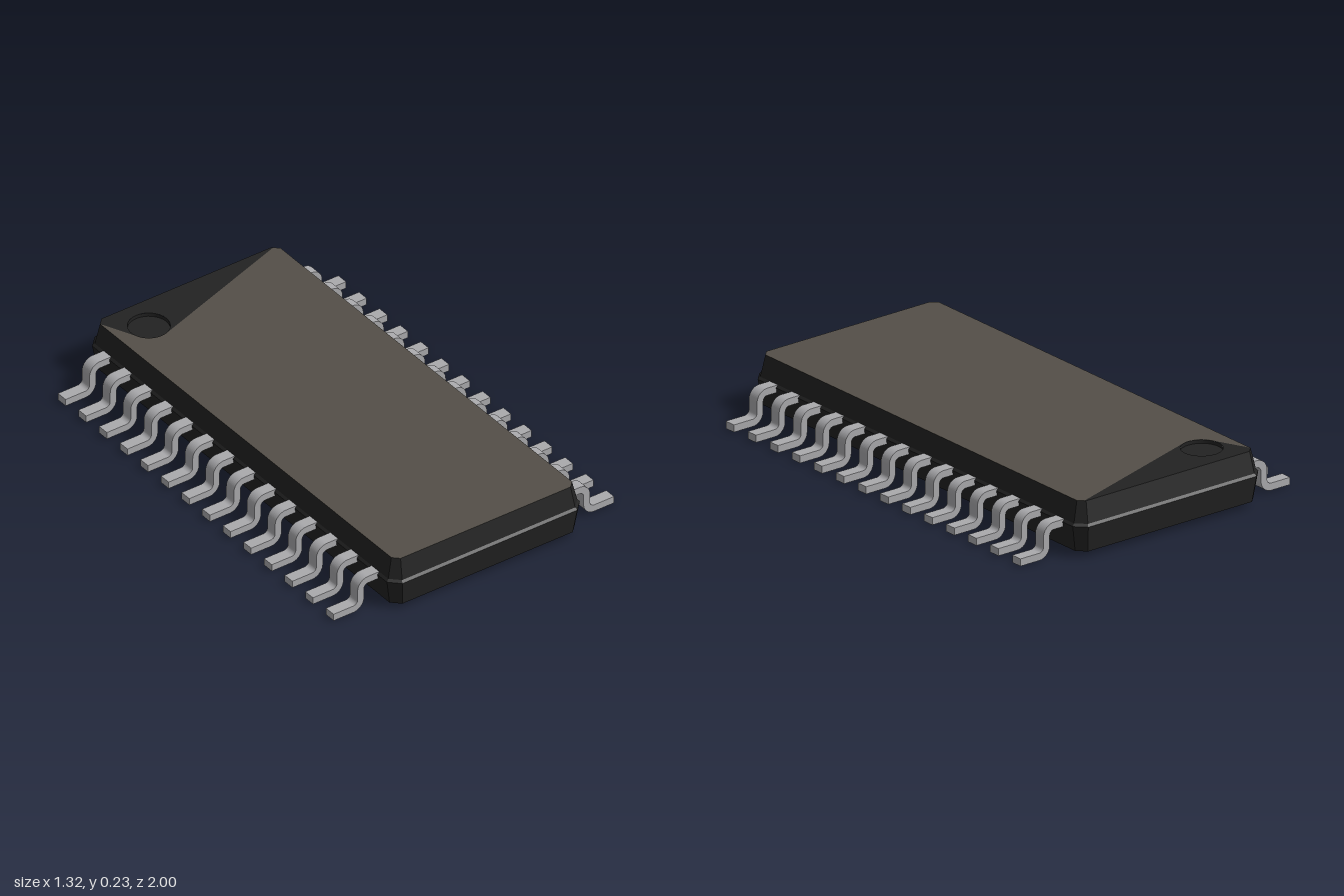
import * as THREE from 'three';

const TOP = 0.227;
const DENT = { x: -0.28, y: 0.83, r: 0.082, depth: 0.015 }; // y is -z on the top face

const material = (name, color, side = THREE.FrontSide) => {
  const m = new THREE.MeshStandardMaterial({ color, side });
  m.name = name;
  return m;
};

function addMesh(parent, name, geometry, mat) {
  const mesh = new THREE.Mesh(geometry, mat);
  mesh.name = name;
  parent.add(mesh);
  return mesh;
}

// Rectangle with cut corners, counter-clockwise in x and y (= -z)
function octagon(hx, hz, c) {
  return [[hx, hz - c], [hx - c, hz], [c - hx, hz], [-hx, hz - c],
    [-hx, c - hz], [c - hx, -hz], [hx - c, -hz], [hx, c - hz]];
}

// Moulded sides lofted through octagonal sections, closed underneath
function bodyGeometry() {
  const rings = [[0.023, 0.436, 0.985, 0.035], [0.13, 0.454, 1.0, 0.042],
    [0.14, 0.445, 0.992, 0.038], [TOP, 0.425, 0.972, 0.025]]
    .map(([y, hx, hz, c]) => octagon(hx, hz, c).map(([x, v]) => [x, y, -v]));
  const pos = [];
  const tri = (a, b, c) => pos.push(...a, ...b, ...c);
  for (let k = 0; k < rings.length - 1; k++) {
    for (let i = 0; i < 8; i++) {
      const j = (i + 1) % 8;
      const [a, b, c, d] = [rings[k][i], rings[k][j], rings[k + 1][j], rings[k + 1][i]];
      tri(a, b, c);
      tri(a, c, d);
    }
  }
  for (let i = 1; i < 7; i++) tri(rings[0][0], rings[0][i + 1], rings[0][i]);
  const g = new THREE.BufferGeometry();
  g.setAttribute('position', new THREE.Float32BufferAttribute(pos, 3));
  g.computeVertexNormals();
  return g;
}

// Flat face lying on the top of the body
const topFace = (shape) => new THREE.ShapeGeometry(shape, 32).rotateX(-Math.PI / 2).translate(0, TOP, 0);

// Gull-wing lead profile, bent with two rounded corners
function leadGeometry(width) {
  const s = new THREE.Shape();
  s.moveTo(0.42, 0.11);
  s.lineTo(0.497, 0.11);
  s.absarc(0.497, 0.09, 0.02, Math.PI / 2, 0, true);
  s.lineTo(0.517, 0.05);
  s.absarc(0.567, 0.05, 0.05, Math.PI, Math.PI * 1.5, false);
  s.lineTo(0.66, 0);
  s.lineTo(0.66, 0.03);
  s.lineTo(0.567, 0.03);
  s.absarc(0.567, 0.05, 0.02, Math.PI * 1.5, Math.PI, true);
  s.lineTo(0.547, 0.09);
  s.absarc(0.497, 0.09, 0.05, 0, Math.PI / 2, false);
  s.lineTo(0.42, 0.14);
  s.closePath();
  return new THREE.ExtrudeGeometry(s, { depth: width, bevelEnabled: false, curveSegments: 8 })
    .translate(0, 0, -width / 2);
}

export function createModel() {
  const model = new THREE.Group();
  model.name = 'integratedCircuit';
  const black = material('blackPlastic', 0x222222);
  const brown = material('brownTop', 0x544f48);
  const metal = material('leadMetal', 0xaaaaad);

  addMesh(model, 'body', bodyGeometry(), black);

  // Top panel, cut away around the marker corner
  const a0 = Math.atan2(0.752 - DENT.y, -0.255 - DENT.x);
  const a1 = Math.atan2(0.79 - DENT.y, -0.352 - DENT.x);
  const panel = new THREE.Shape();
  panel.moveTo(-0.425, 0.947);
  panel.lineTo(-0.425, -0.947);
  panel.lineTo(-0.4, -0.972);
  panel.lineTo(0.4, -0.972);
  panel.lineTo(0.425, -0.947);
  panel.lineTo(0.425, 0.947);
  panel.lineTo(0.405, 0.967);
  panel.absarc(DENT.x, DENT.y, DENT.r + 0.002, a0, a1, true);
  panel.closePath();
  addMesh(model, 'topPanel', topFace(panel), brown);

  // Dark marker corner with a round hole
  const corner = new THREE.Shape();
  corner.moveTo(0.405, 0.967);
  corner.lineTo(0.4, 0.972);
  corner.lineTo(-0.4, 0.972);
  corner.lineTo(-0.425, 0.947);
  corner.absarc(DENT.x, DENT.y, DENT.r + 0.002, a1, a0, false);
  corner.closePath();
  const hole = new THREE.Path();
  hole.absarc(DENT.x, DENT.y, DENT.r, 0, Math.PI * 2, true);
  corner.holes.push(hole);
  addMesh(model, 'markerCorner', topFace(corner), black);

  // Shallow pin-one dent: inward-facing wall and floor
  const wall = new THREE.CylinderGeometry(DENT.r, DENT.r, DENT.depth, 32, 1, true).scale(-1, 1, 1);
  const normals = wall.attributes.normal;
  for (let i = 0; i < normals.count; i++) normals.setXYZ(i, -normals.getX(i), 0, -normals.getZ(i));
  addMesh(model, 'dentWall', wall, black).position.set(DENT.x, TOP - DENT.depth / 2, -DENT.y);
  const floor = new THREE.CircleGeometry(DENT.r, 32).rotateX(-Math.PI / 2);
  addMesh(model, 'dentFloor', floor, black).position.set(DENT.x, TOP - DENT.depth, -DENT.y);

  // Fourteen leads along each long side
  const lead = leadGeometry(0.05);
  for (const [name, turn] of [['leftLeads', 0], ['rightLeads', Math.PI]]) {
    const row = new THREE.Group();
    row.name = name;
    row.rotation.y = turn;
    for (let i = 0; i < 14; i++) addMesh(row, 'lead', lead, metal).position.z = (i - 6.5) * 0.134;
    model.add(row);
  }
  return model;
}
